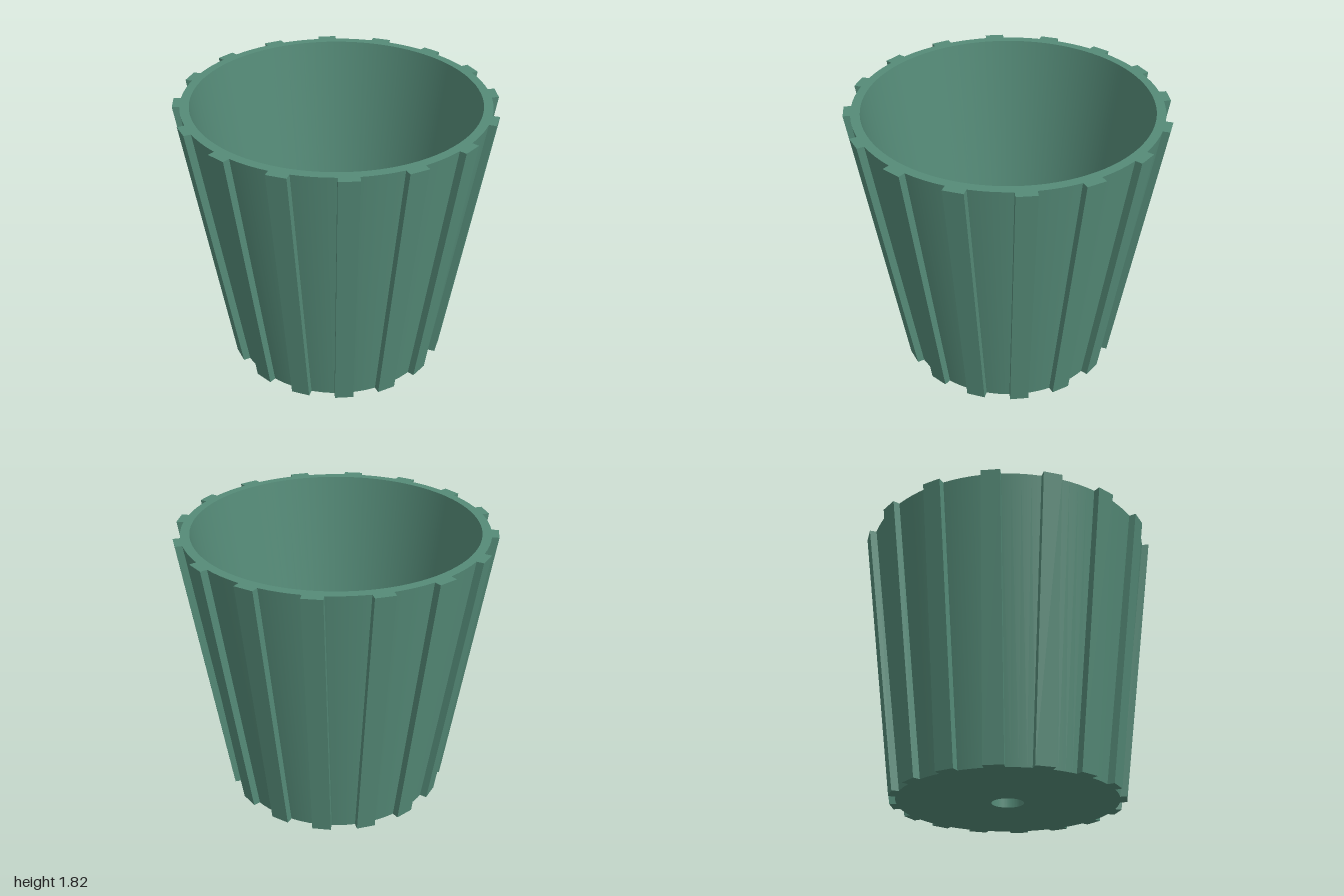
import * as THREE from 'three';
import { toCreasedNormals } from 'three/addons/utils/BufferGeometryUtils.js';

const HEIGHT = 1.82;
const FLOOR = 0.06;
const HOLE = 0.103;
const RIBS = 16;
const RIB_WIDTH = 0.122;

// Outer radius of the tapered wall and of the ribs, at the foot and at the rim
const WALL = { foot: 0.705, rim: 0.957 };
const RIB = { foot: 0.748, rim: 1.0 };

// Closed wall section turned into a hollow pot with a drainage hole
function potGeometry() {
  const profile = [
    [HOLE, 0], [WALL.foot, 0], [WALL.rim, HEIGHT],
    [0.9, HEIGHT], [0.656, FLOOR], [HOLE, FLOOR], [HOLE, 0],
  ].map(([r, y]) => new THREE.Vector2(r, y));
  return toCreasedNormals(new THREE.LatheGeometry(profile, 96), 0.6);
}

// Straight-sided bar of constant width that leans outward with the wall
function ribGeometry() {
  const geometry = new THREE.BoxGeometry(RIB_WIDTH, HEIGHT, 1);
  const p = geometry.attributes.position;
  for (let i = 0; i < p.count; i++) {
    const level = p.getY(i) > 0 ? 'rim' : 'foot';
    p.setZ(i, p.getZ(i) > 0 ? RIB[level] : WALL[level] - 0.008);
    p.setY(i, p.getY(i) + HEIGHT / 2);
  }
  geometry.computeVertexNormals();
  return geometry;
}

export function createModel() {
  const green = new THREE.MeshStandardMaterial({ color: 0x558b78 });
  green.name = 'muted green';

  const model = new THREE.Group();
  model.name = 'plantPot';

  const pot = new THREE.Mesh(potGeometry(), green);
  pot.name = 'potBody';
  model.add(pot);

  // Ribs evenly spaced around the wall
  const ribs = new THREE.Group();
  ribs.name = 'ribs';
  const geometry = ribGeometry();
  for (let i = 0; i < RIBS; i++) {
    const rib = new THREE.Mesh(geometry, green);
    rib.name = 'rib';
    rib.rotation.y = (i / RIBS) * Math.PI * 2;
    ribs.add(rib);
  }
  model.add(ribs);

  return model;
}
